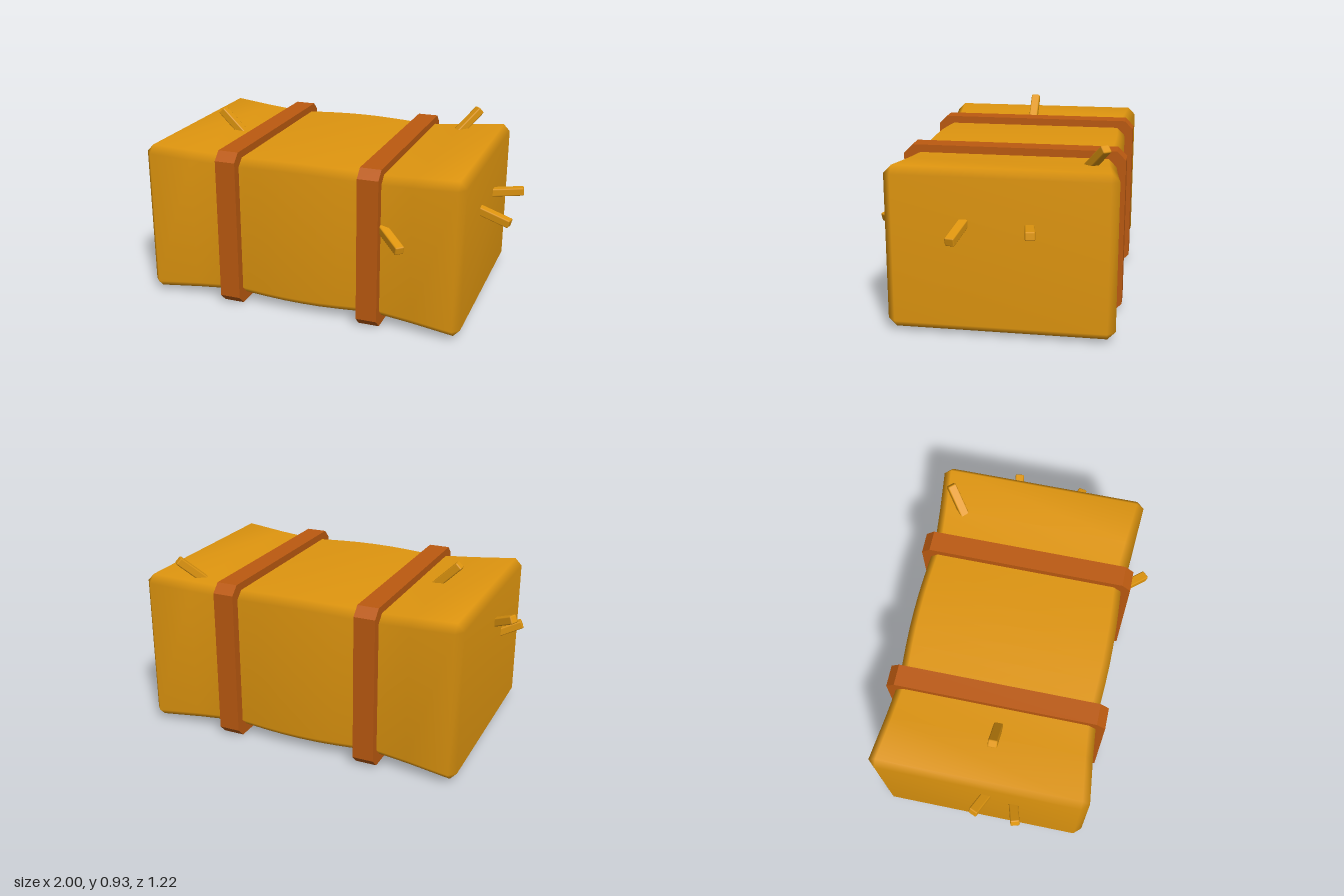
import * as THREE from 'three';
import { mergeVertices } from 'three/addons/utils/BufferGeometryUtils.js';
import { RoundedBoxGeometry } from 'three/addons/geometries/RoundedBoxGeometry.js';

// rectangle with cut corners in the plane at x, running from +z towards +y
function ring([x, hy, hz, c]) {
  const y = hy - c, z = hz - c;
  return [[hz, -y], [hz, y], [z, hy], [-z, hy], [-hz, y], [-hz, -y], [-z, -hy], [z, -hy]]
    .map(([pz, py]) => [x, py, pz]);
}

// closed loft through sections [x, half height, half depth, corner cut]
function loft(sections, smooth) {
  const rings = sections.map(ring);
  const pos = [];
  const tri = (a, b, c) => pos.push(...a, ...b, ...c);
  for (let s = 0; s < rings.length - 1; s++) {
    const a = rings[s], b = rings[s + 1];
    for (let i = 0; i < 8; i++) {
      const j = (i + 1) % 8;
      tri(a[i], b[i], b[j]);
      tri(a[i], b[j], a[j]);
    }
  }
  const first = rings[0], last = rings[rings.length - 1];
  for (let i = 1; i < 7; i++) {
    tri(first[0], first[i], first[i + 1]);
    tri(last[0], last[i + 1], last[i]);
  }
  let geo = new THREE.BufferGeometry();
  geo.setAttribute('position', new THREE.Float32BufferAttribute(pos, 3));
  if (smooth) geo = mergeVertices(geo);
  geo.computeVertexNormals();
  return geo;
}

export function createModel() {
  const model = new THREE.Group();
  model.name = 'hayBale';
  const hay = new THREE.MeshStandardMaterial({ color: 0xe0960f });
  hay.name = 'golden hay';
  const leather = new THREE.MeshStandardMaterial({ color: 0xbc5a10 });
  leather.name = 'rust strap';

  const add = (name, geo, mat) => {
    const mesh = new THREE.Mesh(geo, mat);
    mesh.name = name;
    model.add(mesh);
    return mesh;
  };

  // bale: pinched under the straps, bulging between them
  const half = [
    [0.1, 0.389, 0.529, 0.04],
    [0.2, 0.386, 0.525, 0.04],
    [0.3, 0.382, 0.519, 0.04],
    [0.385, 0.378, 0.513, 0.04],
    [0.6, 0.391, 0.532, 0.04],
    [0.825, 0.408, 0.557, 0.04],
    [0.86, 0.37, 0.518, 0],
  ];
  const mirrored = half.map(([x, ...r]) => [-x, ...r]).reverse();
  const bale = add('bale', loft([...mirrored, [0, 0.39, 0.53, 0.04], ...half], true), hay);
  bale.position.set(-0.025, 0.427, -0.05);

  // straps
  for (const [name, x] of [['rightStrap', -0.41], ['leftStrap', 0.357]]) {
    const strap = add(name, loft([[-0.055, 0.4235, 0.564, 0.045], [0.055, 0.4235, 0.564, 0.045]], false), leather);
    strap.position.set(x, 0.4235, -0.05);
  }

  // loose straws, each from a root inside the bale to its tip
  const straws = [
    [[-0.53, 0.77, -0.012], [-0.682, 0.92, -0.012]],
    [[0.56, 0.79, -0.435], [0.667, 0.918, -0.532]],
    [[0.39, 0.55, 0.43], [0.55, 0.492, 0.592]],
    [[0.78, 0.585, 0.11], [0.992, 0.53, 0.15]],
    [[0.78, 0.555, -0.188], [0.992, 0.578, -0.222]],
    [[-0.82, 0.615, 0.015], [-0.988, 0.69, -0.055]],
    [[-0.82, 0.512, 0.112], [-0.982, 0.588, 0.16]],
  ];
  straws.forEach(([root, tip], i) => {
    const a = new THREE.Vector3(...root), b = new THREE.Vector3(...tip);
    const straw = add('straw' + (i + 1), new RoundedBoxGeometry(0.048, 0.043, a.distanceTo(b), 1, 0.007), hay);
    straw.position.copy(a).lerp(b, 0.5);
    straw.lookAt(b);
  });
  return model;
}
